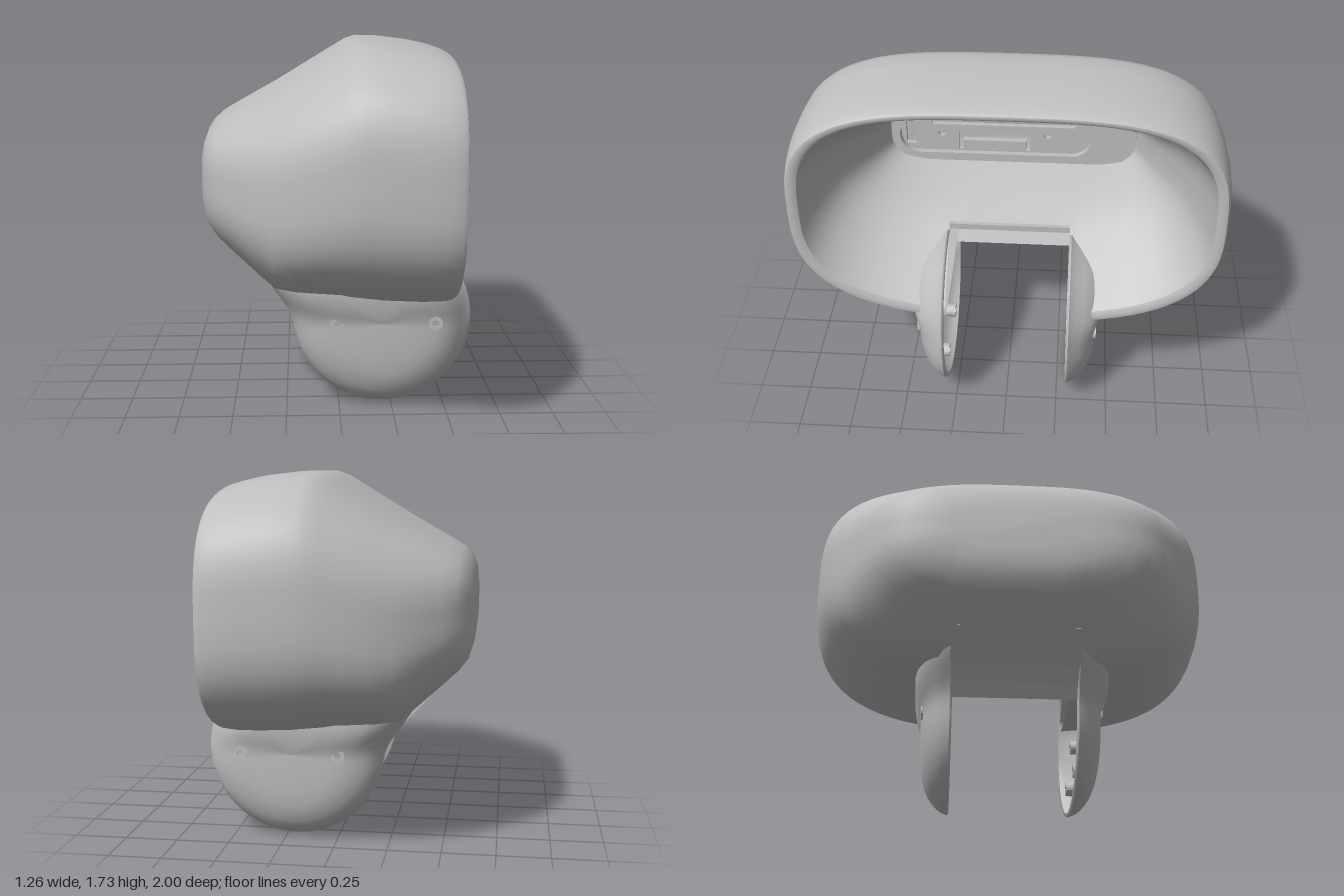
import * as THREE from 'three';

const NOTCH = 0.29; // half width of the opening under the shell
const STRIP = 6;    // columns across that opening

// Surface through closed loops of [x, y, z]; skip(row, column) leaves holes.
function loft(loops, skip = () => false) {
  const n = loops[0].length, index = [];
  for (let i = 0; i < loops.length - 1; i++) {
    for (let j = 0; j < n; j++) {
      if (skip(i, j)) continue;
      const k = (j + 1) % n, a = i * n + j, b = i * n + k;
      index.push(a, a + n, b, b, a + n, b + n);
    }
  }
  const g = new THREE.BufferGeometry();
  g.setAttribute('position', new THREE.Float32BufferAttribute(loops.flat(2), 3));
  g.setIndex(index);
  g.computeVertexNormals();
  return g;
}

// Rounded section across x, with columns that line up with the notch edges.
function section([x, w, y0, y1, nTop = 3.3, nLow = 2.65]) {
  const cy = (y0 + y1) / 2, h = (y1 - y0) / 2, pts = [];
  const pow = (v, n) => Math.sign(v) * Math.pow(Math.abs(v), 2 / n);
  const add = (a, n) => pts.push([x, cy + h * pow(Math.sin(a), n), w * pow(Math.cos(a), n)]);
  const a0 = Math.acos(Math.pow(Math.min(1, NOTCH / w), nLow / 2));
  for (let i = 0; i < 16; i++) add(-a0 * (1 - i / 16), nLow);
  for (let i = 0; i <= 40; i++) add(Math.PI * i / 40, nTop);
  for (let i = 1; i <= 16; i++) add(Math.PI + a0 * i / 16, nLow);
  for (let i = 1; i < STRIP; i++) {
    const z = -NOTCH + 2 * NOTCH * i / STRIP;
    pts.push([x, cy - h * Math.pow(1 - Math.pow(Math.abs(z) / w, nLow), 1 / nLow), z]);
  }
  return pts;
}

// Loop collapsed to a point, closing an end.
const cap = (x, y, loop) => loop.map(() => [x, y, 0]);

function stadium(z0, z1, y0, y1, Kind = THREE.Shape) {
  const r = (y1 - y0) / 2, cy = (y0 + y1) / 2, s = new Kind();
  s.absarc(z1 - r, cy, r, -Math.PI / 2, Math.PI / 2, false);
  s.absarc(z0 + r, cy, r, Math.PI / 2, Math.PI * 1.5, false);
  s.closePath();
  return s;
}

export function createModel() {
  const model = new THREE.Group();
  const grey = new THREE.MeshStandardMaterial({ color: 0xbebebe, side: THREE.DoubleSide });
  grey.name = 'grey plastic';
  const part = (name, geo, parent = model) => {
    const m = new THREE.Mesh(geo, grey);
    m.name = name;
    parent.add(m);
    return m;
  };

  // Outer shell: x, half width, bottom, top
  const outerRows = [
    [-0.63, 0.33, 0.99, 1.2], [-0.622, 0.44, 0.92, 1.27], [-0.6, 0.535, 0.85, 1.325],
    [-0.56, 0.61, 0.8, 1.36], [-0.5, 0.68, 0.745, 1.395], [-0.4, 0.765, 0.655, 1.45],
    [-0.3, 0.835, 0.565, 1.505], [-0.2, 0.885, 0.55, 1.565], [-0.1, 0.925, 0.545, 1.625],
    [0, 0.955, 0.54, 1.685], [0.05, 0.967, 0.53, 1.715], [0.1, 0.977, 0.525, 1.73],
    [0.2, 0.99, 0.515, 1.728], [0.35, 1, 0.51, 1.71], [0.44, 0.997, 0.51, 1.69],
    [0.49, 0.99, 0.515, 1.675], [0.508, 0.98, 0.525, 1.662]];
  const outer = outerRows.map(section), cols = outer[0].length;
  const inStrip = j => j >= cols - STRIP;
  part('outerShell', loft([cap(-0.632, 1.095, outer[0]), ...outer],
    (i, j) => inStrip(j) && i > 0 && outerRows[i - 1][0] > -0.31));

  // Funnel-shaped inside, running back to the recessed plate
  const innerRows = [
    [0.5, 0.935, 0.57, 1.637], [0.46, 0.92, 0.605, 1.622], [0.35, 0.87, 0.71, 1.58],
    [0.21, 0.79, 0.845, 1.5], [0.05, 0.7, 0.925, 1.41, 3.3, 3], [-0.13, 0.606, 1.006, 1.304, 4, 4],
    [-0.17, 0.606, 1.006, 1.304, 4, 4]];
  const inner = innerRows.map(section);
  part('innerFunnel', loft([...inner, cap(-0.17, 1.155, inner[0])],
    (i, j) => inStrip(j) && innerRows[i][0] > 0.22));
  const lip = section([0.512, 0.957, 0.548, 1.65]);
  part('frontRim', loft([outer[outer.length - 1], lip, inner[0]], (i, j) => inStrip(j)));

  // Thin lip along the rear edge of the notch
  const lipBar = part('notchLip', new THREE.BoxGeometry(0.02, 0.03, 2 * NOTCH));
  lipBar.position.set(0.21, 0.855, 0);

  // Sloping panel that joins the two side discs at the back
  const chin = new THREE.Shape([[-0.43, 0.69], [-0.3, 0.55], [-0.25, 0.485], [-0.212, 0.425],
    [-0.19, 0.435], [-0.28, 0.59], [-0.39, 0.72]].map(p => new THREE.Vector2(...p)));
  const chinGeo = new THREE.ExtrudeGeometry(chin, { depth: 0.61, bevelEnabled: false });
  part('lowerBackPanel', chinGeo.translate(0, 0, -0.305));

  // Recessed plate; its shapes are drawn in -z, y and turned to face +x
  const plate = new THREE.Group();
  plate.name = 'insidePlate';
  plate.rotation.y = Math.PI / 2;
  model.add(plate);
  const slab = (name, shape, x, depth) => {
    const m = part(name, new THREE.ExtrudeGeometry(shape,
      { depth, bevelEnabled: false, curveSegments: 16 }), plate);
    m.position.z = x;
  };
  const face = stadium(-0.6, 0.6, 1.01, 1.3);
  face.holes.push(stadium(-0.56, 0.38, 1.052, 1.25, THREE.Path));
  slab('plateFace', face, -0.165, 0.045);
  const box = (z0, z1, y0, y1, Kind) => {
    const s = new Kind();
    s.moveTo(z0, y0).lineTo(z1, y0).lineTo(z1, y1).lineTo(z0, y1).closePath();
    return s;
  };
  const insert = stadium(-0.555, 0.375, 1.056, 1.246);
  insert.holes.push(box(-0.27, 0.08, 1.065, 1.16, THREE.Path), box(-0.4, 0.3, 1.205, 1.243, THREE.Path),
    box(-0.53, -0.485, 1.09, 1.21, THREE.Path));
  for (const z of [-0.355, 0.165]) {
    const hole = new THREE.Path();
    hole.absarc(z, 1.155, 0.017, 0, Math.PI * 2, false);
    insert.holes.push(hole);
  }
  slab('plateInsert', insert, -0.165, 0.025);
  slab('insertTab', box(-0.25, 0.06, 1.068, 1.12, THREE.Shape), -0.165, 0.03);

  // Hollow side discs: convex below, sweeping up into the shell at the upper front
  const { smoothstep, lerp } = THREE.MathUtils;
  const ringLoop = (scale, s, z, depth) => {
    const pts = [];
    for (let i = 0; i < 72; i++) {
      const deg = i * 5, a = deg * Math.PI / 180;
      const r = (0.42 + 0.25 * Math.exp(-(((deg - 150) / 17.3) ** 2))) * s * scale;
      const y = 0.42 + r * Math.sin(a);
      const convex = Math.pow(Math.max(0, 1 - s ** 4), 0.7);
      const concave = Math.pow(Math.min(1, (1 - s) / 0.29), 1.2);
      const sweep = smoothstep(Math.sin(a), -0.7, 0.2) * smoothstep(Math.cos(a), -0.6, -0.1);
      const f = lerp(convex, Math.min(convex, concave), sweep);
      const flare = 0.035 * f * smoothstep(y, 0.4, 0.56);
      pts.push([0.21 + r * Math.cos(a), y, z + depth * f + flare]);
    }
    return pts;
  };
  const steps = [0, 0.25, 0.45, 0.6, 0.7, 0.8, 0.87, 0.93, 0.97, 1];
  const back = [...steps].reverse();
  for (const side of [1, -1]) {
    const disc = new THREE.Group();
    disc.name = side > 0 ? 'leftSideDisc' : 'rightSideDisc';
    disc.scale.z = side;
    model.add(disc);
    part('discOuter', loft(steps.map(s => ringLoop(1, s, 0.3, 0.135))), disc);
    part('discRim', loft([ringLoop(1, 1, 0.3, 0), ringLoop(0.99, 1, 0.29, 0), ringLoop(0.95, 1, 0.29, 0)]), disc);
    part('discInner', loft(back.map(s => ringLoop(0.95, s, 0.29, 0.12))), disc);
    // Hollow screw posts
    for (const [x, y] of [[-0.01, 0.42], [0.45, 0.42], [0.36, 0.17], [0.06, 0.17]]) {
      const tube = [[0.016, -0.05], [0.034, -0.05], [0.034, 0.05], [0.016, 0.05], [0.016, -0.05]];
      const post = part('screwPost', new THREE.LatheGeometry(
        tube.map(p => new THREE.Vector2(...p)), 16).toNonIndexed(), disc);
      post.geometry.computeVertexNormals();
      post.rotation.x = Math.PI / 2;
      post.position.set(x, y, y > 0.3 ? 0.383 : 0.345);
    }
  }
  return model;
}
